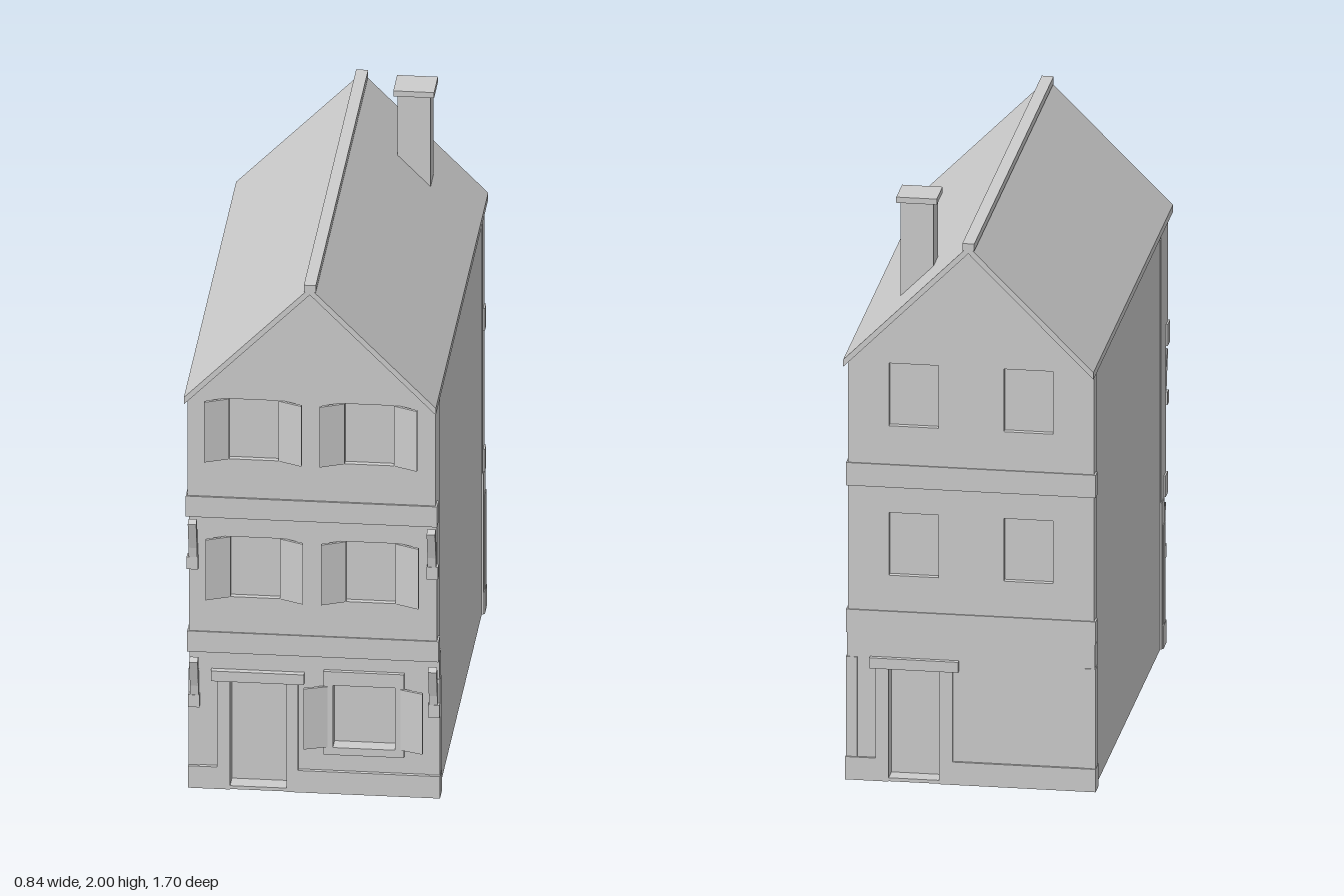
import * as THREE from 'three';

const stone = new THREE.MeshStandardMaterial({ color: 0xcccccc });
stone.name = 'pale grey';

export function createModel() {
  const house = new THREE.Group();
  house.name = 'townHouse';

  const add = (name, geometry) => {
    const mesh = new THREE.Mesh(geometry, stone);
    mesh.name = name;
    house.add(mesh);
    return mesh;
  };
  // Box given by its limits on each axis
  const box = (name, x0, x1, y0, y1, z0, z1) => {
    const mesh = add(name, new THREE.BoxGeometry(x1 - x0, y1 - y0, z1 - z0));
    mesh.position.set((x0 + x1) / 2, (y0 + y1) / 2, (z0 + z1) / 2);
    return mesh;
  };
  const rect = (x0, x1, y0, y1) => [[x0, y0], [x1, y0], [x1, y1], [x0, y1]];
  const toPoints = (pts) => pts.map(([x, y]) => new THREE.Vector2(x, y));
  // Outline in x and y with openings, extruded from z0 to z1
  const slab = (name, outline, holes, z0, z1) => {
    const shape = new THREE.Shape(toPoints(outline));
    holes.forEach((h) => shape.holes.push(new THREE.Path(toPoints(h))));
    const g = new THREE.ExtrudeGeometry(shape, { depth: z1 - z0, bevelEnabled: false });
    g.translate(0, 0, z0);
    return add(name, g);
  };

  // Outline sizes
  const W = 0.413;
  const eave = 1.472;
  const apex = 1.885;
  const floor2 = 0.515;
  const floor3 = 1.03;
  const windowRows = [[0.72, 0.94], [1.245, 1.465]];
  const windowCols = [[-0.275, -0.11], [0.11, 0.275]];
  const rowHoles = ([y0, y1]) => windowCols.map(([x0, x1]) => rect(x0, x1, y0, y1));
  const gable = (y0) => [[-W, y0], [W, y0], [W, eave], [0, apex], [-W, eave]];

  // Side walls
  for (const s of [-1, 1]) {
    box('sideWall', Math.min(s * 0.35, s * 0.41), Math.max(s * 0.35, s * 0.41), 0, 1.475, -0.75, 0.7);
  }

  // Front walls, each storey stepping forward
  const shop = [0.063, 0.27, 0.17, 0.397];
  const doorway = (x0, x1, half) => [
    [-half, 0], [x0, 0], [x0, 0.397], [x1, 0.397], [x1, 0], [half, 0], [half, floor2], [-half, floor2],
  ];
  slab('frontGroundWall', doorway(-0.28, -0.092, 0.416), [rect(...shop)], 0.64, 0.7);
  slab('frontMiddleWall', rect(-W, W, floor2, floor3), rowHoles(windowRows[0]), 0.64, 0.745);
  slab('frontGableWall', gable(floor3), rowHoles(windowRows[1]), 0.64, 0.79);

  // Back walls
  slab('backGroundWall', doorway(0.105, 0.275, 0.416), [], -0.795, -0.735);
  slab('backGableWall', gable(floor2), windowRows.flatMap(rowHoles), -0.79, -0.735);

  // Window panes
  windowRows.forEach(([y0, y1], i) => {
    const front = [0.745, 0.79][i];
    windowCols.forEach(([x0, x1]) => {
      box('frontPane', x0, x1, y0, y1, front - 0.03, front - 0.02);
      box('backPane', x0, x1, y0, y1, -0.77, -0.76);
    });
  });
  box('shopPane', ...shop, 0.65, 0.66);

  // Projecting bands at floor levels
  [[floor2, 0.75], [floor3, 0.797]].forEach(([y, z]) => {
    box('frontBand', -0.419, 0.419, y, y + 0.075, z - 0.05, z);
    box('backBand', -0.419, 0.419, y, y + 0.08, -0.795, -0.755);
  });

  // Shutters swung partly open; side -1 hangs left of its hinge
  const shutter = (hinge, side, width, y0, y1, z, out) => {
    const pts = [[hinge, z], [hinge + side * width, z + out], [hinge + side * width, z + out - 0.011], [hinge, z - 0.011]];
    if (side < 0) pts.reverse();
    // Plan outline extruded upwards
    const shape = new THREE.Shape(toPoints(pts.map(([x, d]) => [x, -d])));
    const g = new THREE.ExtrudeGeometry(shape, { depth: y1 - y0, bevelEnabled: false });
    g.rotateX(-Math.PI / 2);
    g.translate(0, y0, 0);
    add('shutter', g);
  };
  windowRows.forEach(([y0, y1], i) => {
    const z = [0.745, 0.79][i];
    windowCols.forEach(([x0, x1]) => {
      shutter(x0, -1, 0.08, y0, y1, z + 0.003, 0.035);
      shutter(x1, 1, 0.08, y0, y1, z + 0.003, 0.035);
    });
  });
  shutter(0.045, -1, 0.077, 0.172, 0.393, 0.718, 0.027);
  shutter(0.288, 1, 0.077, 0.172, 0.393, 0.718, 0.027);

  // Shop window surround
  slab('shopSurround', rect(0.032, 0.3, 0.143, 0.447), [rect(...shop)], 0.69, 0.715);

  // Doors with jambs, lintel, plinth and threshold; dir is the facing along z
  const entrance = (side, x0, x1, jamb, lintel, wall, dir) => {
    const part = (name, a, b, y0, y1, d0, d1) => {
      const za = wall + dir * d0;
      const zb = wall + dir * d1;
      box(name, a, b, y0, y1, Math.min(za, zb), Math.max(za, zb));
    };
    part(side + 'Door', x0 - 0.005, x1 + 0.005, 0.005, 0.4, -0.085, -0.05);
    part(side + 'Threshold', x0, x1, 0, 0.012, -0.06, 0.01);
    part(side + 'Jamb', jamb[0], x0, 0, 0.397, -0.02, 0.014);
    part(side + 'Jamb', x1, jamb[1], 0, 0.397, -0.02, 0.014);
    part(side + 'Lintel', lintel[0], lintel[1], 0.397, 0.434, -0.02, 0.022);
    part(side + 'Plinth', -0.42, jamb[0], 0, 0.08, -0.05, 0.014);
    part(side + 'Plinth', jamb[1], 0.42, 0, 0.08, -0.05, 0.014);
  };
  entrance('front', -0.28, -0.092, [-0.323, -0.053], [-0.343, -0.033], 0.7, 1);
  entrance('back', 0.105, 0.275, [0.06, 0.318], [0.04, 0.338], -0.79, -1);

  // Ground storey corner strips
  for (const s of [-1, 1]) {
    for (const [z0, z1] of [[0.665, 0.703], [-0.798, -0.755]]) {
      box('cornerStrip', s * 0.4 - 0.019, s * 0.4 + 0.019, 0, 0.43, z0, z1);
    }
  }

  // Slanted brackets carrying the upper storeys
  [[0.3, 0.7], [0.825, 0.745]].forEach(([y, z]) => {
    for (const s of [-1, 1]) {
      const shape = new THREE.Shape(toPoints([
        [z, y + 0.02], [z + 0.02, y + 0.02], [z + 0.027, y + 0.08],
        [z + 0.055, y + 0.178], [z + 0.03, y + 0.187], [z, y + 0.08],
      ]));
      const g = new THREE.ExtrudeGeometry(shape, { depth: 0.028, bevelEnabled: false });
      g.rotateY(-Math.PI / 2);
      g.translate(s * 0.398 + 0.014, 0, 0);
      add('bracket', g);
      box('bracketFoot', s * 0.4 - 0.019, s * 0.4 + 0.019, y, y + 0.045, z - 0.005, z + 0.024);
    }
  });

  // Roof and ridge cap
  slab('roof', [[-0.42, 1.465], [0, apex], [0.42, 1.465], [0.42, 1.49], [0, 1.91], [-0.42, 1.49]], [], -0.85, 0.85);
  box('ridgeCap', -0.02, 0.02, 1.895, 1.92, -0.85, 0.85);

  // Chimney
  box('chimney', 0.15, 0.26, 1.62, 1.985, -0.637, -0.537);
  box('chimneyCap', 0.137, 0.273, 1.98, 2, -0.65, -0.525);

  return house;
}
